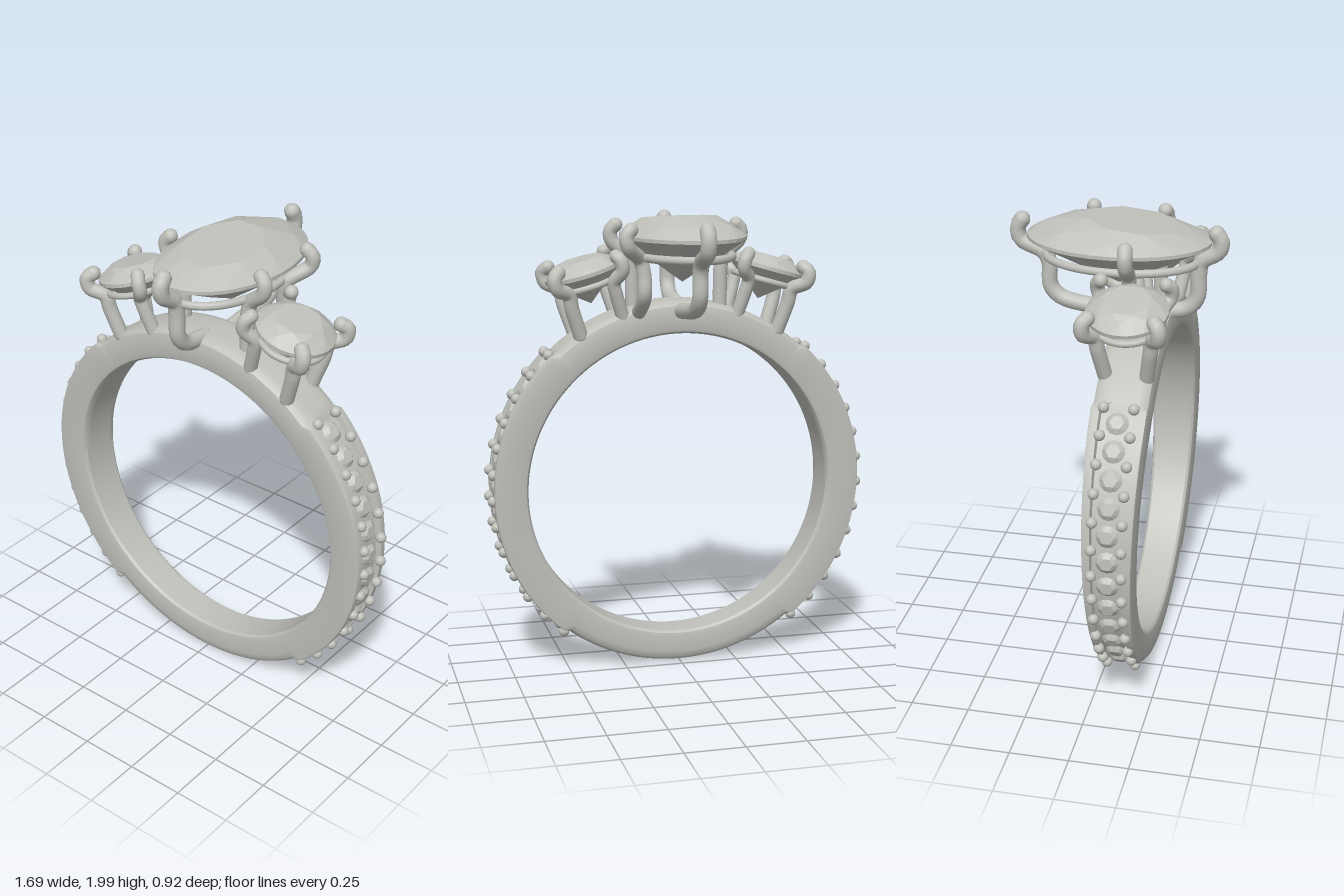
import * as THREE from 'three';
import { toCreasedNormals } from 'three/addons/utils/BufferGeometryUtils.js';
import { ConvexGeometry } from 'three/addons/geometries/ConvexGeometry.js';

const CY = 0.81, CZ = 0.118; // centre of the band
const V = (x, y, z) => new THREE.Vector3(x, y, z);
const rad = THREE.MathUtils.degToRad;

export function createModel() {
  const model = new THREE.Group();
  const metal = new THREE.MeshStandardMaterial({ color: 0xc0c0bb });
  metal.name = 'silver grey';

  const add = (parent, name, geometry) => {
    const mesh = new THREE.Mesh(geometry, metal);
    mesh.name = name;
    parent.add(mesh);
    return mesh;
  };
  const group = (name, parent = model) => {
    const g = new THREE.Group();
    g.name = name;
    parent.add(g);
    return g;
  };

  // Rounded wire through points, with ball ends
  const prong = (parent, name, pts, r) => {
    const g = group(name, parent);
    const curve = new THREE.CatmullRomCurve3(pts, false, 'centripetal');
    add(g, name + 'Wire', new THREE.TubeGeometry(curve, 28, r, 12));
    for (const p of [pts[0], pts[pts.length - 1]]) {
      add(g, name + 'End', new THREE.SphereGeometry(r, 12, 8)).position.copy(p);
    }
  };

  // Faceted stone: hull of elliptical rings [rx, rz, y, count, phase, zShift, tilt]
  const gem = (rings, culet) => {
    const pts = [V(0, culet, 0)];
    for (const [rx, rz, y, n, phase = 0, dz = 0, tilt = 0] of rings) {
      for (let i = 0; i < n; i++) {
        const t = ((i + phase) / n) * Math.PI * 2;
        const z = dz + Math.sin(t) * rz;
        pts.push(V(Math.cos(t) * rx, y - tilt * z, z));
      }
    }
    return new ConvexGeometry(pts);
  };

  // Band: cross-section swept round the circle, with a channel on each side
  const plain = [[0.765, 1], [0.79, 0.95], [0.803, 0.82], [0.809, 0.6], [0.81, 0.3]];
  const channel = [[0.8, 1], [0.815, 0.97], [0.818, 0.9], [0.818, 0.66], [0.793, 0.62]];
  const inner = [[0.695, 1], [0.68, 0.96], [0.671, 0.84], [0.67, 0.6]];
  const flip = (a) => a.map(([r, s]) => [r, -s]);
  const section = (outer) => [
    ...outer, ...flip(outer).reverse(), ...flip(inner), ...[...inner].reverse(),
  ];
  const N = 180, pos = [], idx = [];
  const M = section(plain).length;
  for (let i = 0; i < N; i++) {
    const th = (i / N) * Math.PI * 2, c = Math.cos(th), s = Math.sin(th);
    const side = Math.asin(s) * 180 / Math.PI;
    const w = Math.min(0.115, 0.08 + 0.026 * (CY + 0.8 * s));
    for (const [r, k] of section(side < 47 && side > -51 ? channel : plain)) {
      pos.push(c * r, CY + s * r, CZ + k * w);
    }
    for (let j = 0; j < M; j++) {
      const a = i * M + j, b = i * M + (j + 1) % M;
      const n = ((i + 1) % N) * M;
      const d = n + j, e = n + (j + 1) % M;
      idx.push(a, b, e, a, e, d);
    }
  }
  const bandGeo = new THREE.BufferGeometry();
  bandGeo.setAttribute('position', new THREE.Float32BufferAttribute(pos, 3));
  bandGeo.setIndex(idx);
  add(model, 'band', toCreasedNormals(bandGeo, 0.6));

  // Small stones and beads set along both sides of the band
  const smallGem = gem([[0.029, 0.029, 0.018, 6, 0.5], [0.047, 0.047, 0, 12]], -0.03);
  const beadGeo = new THREE.SphereGeometry(0.023, 12, 8);
  for (const m of [1, -1]) {
    const row = group(m > 0 ? 'leftStoneRow' : 'rightStoneRow');
    for (let i = 0; i <= 12; i++) {
      const a = rad(46 - i * 8.05);
      for (const k of [1, -1]) {
        add(row, 'bead', beadGeo).position.set(
          m * Math.cos(a) * 0.822, CY + Math.sin(a) * 0.822, CZ + k * 0.061);
      }
      if (i === 12) continue;
      const b = a - rad(4.03);
      const stone = add(row, 'smallStone', smallGem);
      stone.position.set(m * Math.cos(b) * 0.802, CY + Math.sin(b) * 0.802, CZ);
      stone.rotation.z = m * (b - Math.PI / 2);
    }
  }

  // Large oval stone with its table leaning forward
  const centre = group('centreSetting');
  add(centre, 'ovalStone', gem([
    [0.16, 0.2, 1.982, 8, 0.5, 0.06, 0.1],
    [0.215, 0.315, 1.945, 8, 0, 0, 0.03],
    [0.262, 0.385, 1.908, 32],
    [0.262, 0.385, 1.893, 32],
    [0.15, 0.22, 1.81, 8, 0.5],
  ], 1.705));

  // Oval rail under the large stone
  const railPts = [];
  for (let i = 0; i < 24; i++) {
    const t = (i / 24) * Math.PI * 2;
    railPts.push(V(Math.cos(t) * 0.205, 1.82, 0.012 + Math.sin(t) * 0.32));
  }
  add(centre, 'ovalRail', new THREE.TubeGeometry(
    new THREE.CatmullRomCurve3(railPts, true), 64, 0.018, 8, true));

  // Prongs of the large stone
  prong(centre, 'frontProng', [
    V(-0.02, 1.95, 0.405), V(-0.02, 1.92, 0.425), V(-0.02, 1.875, 0.415), V(-0.015, 1.825, 0.345),
    V(-0.015, 1.77, 0.335), V(-0.015, 1.67, 0.33), V(-0.015, 1.62, 0.29), V(-0.015, 1.595, 0.16),
  ], 0.034);
  prong(centre, 'backProng', [
    V(0, 1.95, -0.41), V(0, 1.92, -0.428), V(0, 1.865, -0.42), V(0, 1.815, -0.32),
    V(0, 1.77, -0.298), V(0, 1.67, -0.295), V(0, 1.62, -0.25), V(0, 1.585, -0.05), V(0, 1.575, 0.06),
  ], 0.034);
  const sideProng = (name, m, z, zLow, zBase) => prong(centre, name, [
    V(m * 0.258, 1.94, z * 0.96), V(m * 0.28, 1.915, z), V(m * 0.272, 1.87, z),
    V(m * 0.205, 1.81, zLow), V(m * 0.19, 1.75, zLow), V(m * 0.188, 1.66, zLow),
    V(m * 0.186, 1.57, zBase),
  ], 0.031);
  sideProng('leftFrontProng', 1, 0.15, 0.14, 0.14);
  sideProng('leftBackProng', 1, -0.17, -0.1, 0.03);
  sideProng('rightProng', -1, 0.08, 0.08, 0.08);

  // Round side stones, tilted outward, each with a rail and four prongs
  const roundGem = gem([
    [0.098, 0.098, 0.055, 8, 0.5], [0.135, 0.135, 0.035, 8],
    [0.165, 0.165, 0.008, 32], [0.165, 0.165, -0.008, 32], [0.09, 0.09, -0.065, 8, 0.5],
  ], -0.14);
  for (const m of [1, -1]) {
    const setting = group(m > 0 ? 'leftSetting' : 'rightSetting');
    const head = group('tiltedHead', setting);
    head.position.set(m * 0.41, 1.745, CZ);
    head.rotation.z = -m * rad(16);
    add(head, 'roundStone', roundGem);
    const rail = add(head, 'roundRail', new THREE.TorusGeometry(0.135, 0.014, 8, 40));
    rail.rotation.x = Math.PI / 2;
    rail.position.y = -0.055;

    for (const k of [1, -1]) {
      const end = k > 0 ? 'Front' : 'Back';
      prong(setting, 'outer' + end + 'Prong', [
        V(m * 0.535, 1.755, CZ + k * 0.132), V(m * 0.555, 1.735, CZ + k * 0.15),
        V(m * 0.545, 1.69, CZ + k * 0.148), V(m * 0.49, 1.66, CZ + k * 0.115),
        V(m * 0.475, 1.6, CZ + k * 0.105), V(m * 0.435, 1.48, CZ + k * 0.085),
      ], 0.031);
      prong(setting, 'inner' + end + 'Prong', [
        V(m * 0.29, 1.82, CZ + k * 0.132), V(m * 0.272, 1.8, CZ + k * 0.15),
        V(m * 0.265, 1.76, CZ + k * 0.148), V(m * 0.295, 1.71, CZ + k * 0.115),
        V(m * 0.285, 1.66, CZ + k * 0.105), V(m * 0.252, 1.555, CZ + k * 0.085),
      ], 0.029);
    }
  }
  return model;
}
